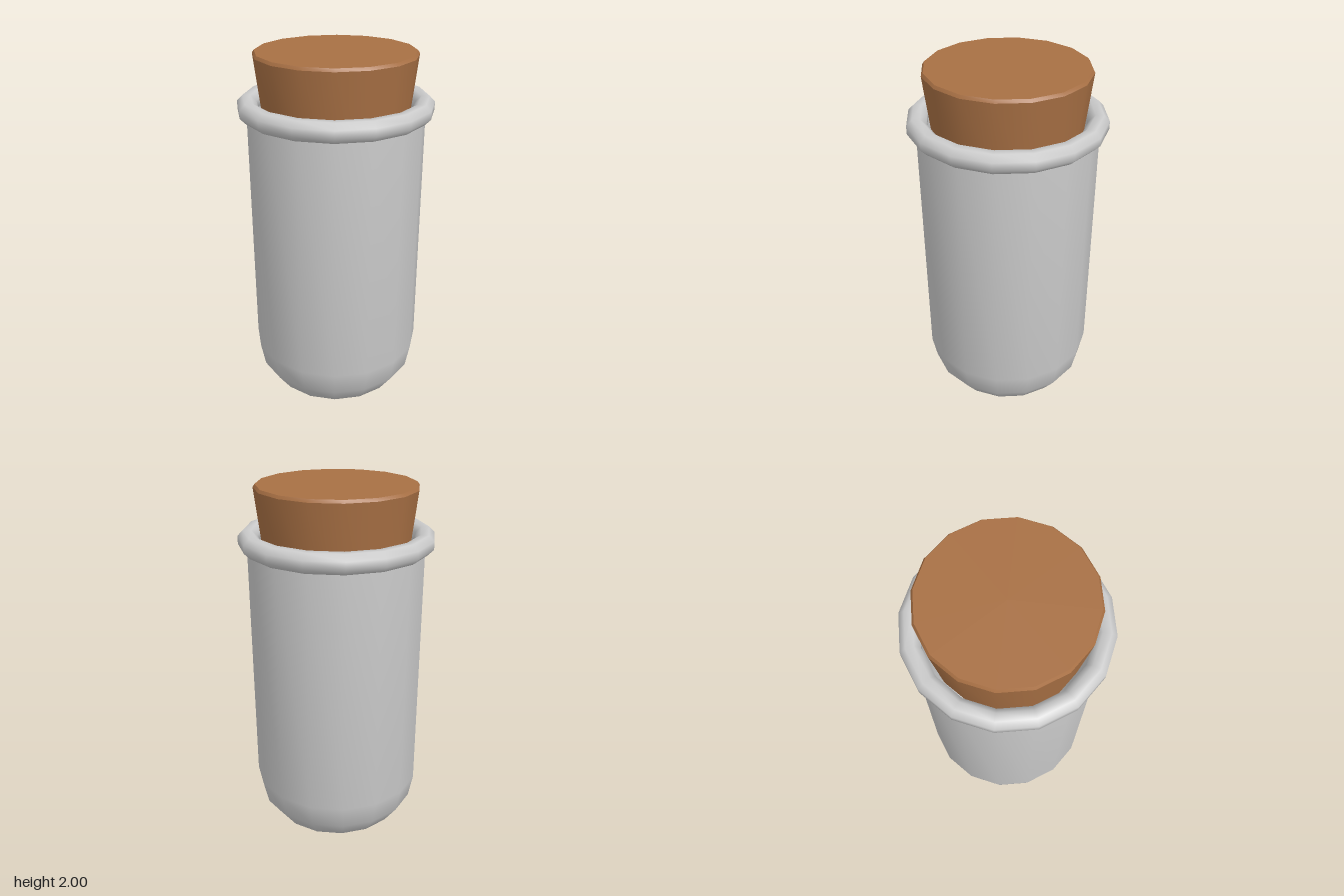
import * as THREE from 'three';
import { toCreasedNormals } from 'three/addons/utils/BufferGeometryUtils.js';

const SIDES = 16;

// Revolve a profile of [radius, height] pairs, keeping edges above the crease angle sharp
function turned(name, profile, material, crease) {
  const points = profile.map(([r, y]) => new THREE.Vector2(r, y));
  const geometry = toCreasedNormals(new THREE.LatheGeometry(points, SIDES), crease);
  const mesh = new THREE.Mesh(geometry, material);
  mesh.name = name;
  return mesh;
}

export function createModel() {
  const glass = new THREE.MeshStandardMaterial({ color: 0xcccccc });
  const cork = new THREE.MeshStandardMaterial({ color: 0xa87044 });
  const group = new THREE.Group();
  group.name = 'corkedJar';

  // Round-bottomed body with a thin inner wall
  group.add(turned('jarBody', [
    [0, 0], [0.115, 0.005], [0.25, 0.03], [0.365, 0.11], [0.44, 0.215], [0.465, 0.345],
    [0.465, 1.72], [0.415, 1.72],
    [0.415, 0.36], [0.39, 0.25], [0.32, 0.15], [0.2, 0.08], [0, 0.05],
  ], glass, 0.9));

  // Rounded rim: an eight-sided ring around the mouth
  const ring = [];
  for (let i = 0; i <= 8; i++) {
    const a = (i - 0.5) * Math.PI / 4;
    ring.push([0.46 + 0.054 * Math.cos(a), 1.72 + 0.054 * Math.sin(a)]);
  }
  group.add(turned('rim', ring, glass, 0.9));

  // Tapered stopper with a small bevel on its top edge
  group.add(turned('corkStopper', [
    [0, 1.6], [0.376, 1.6], [0.421, 1.985], [0.411, 2], [0, 2],
  ], cork, 0.6));

  return group;
}
